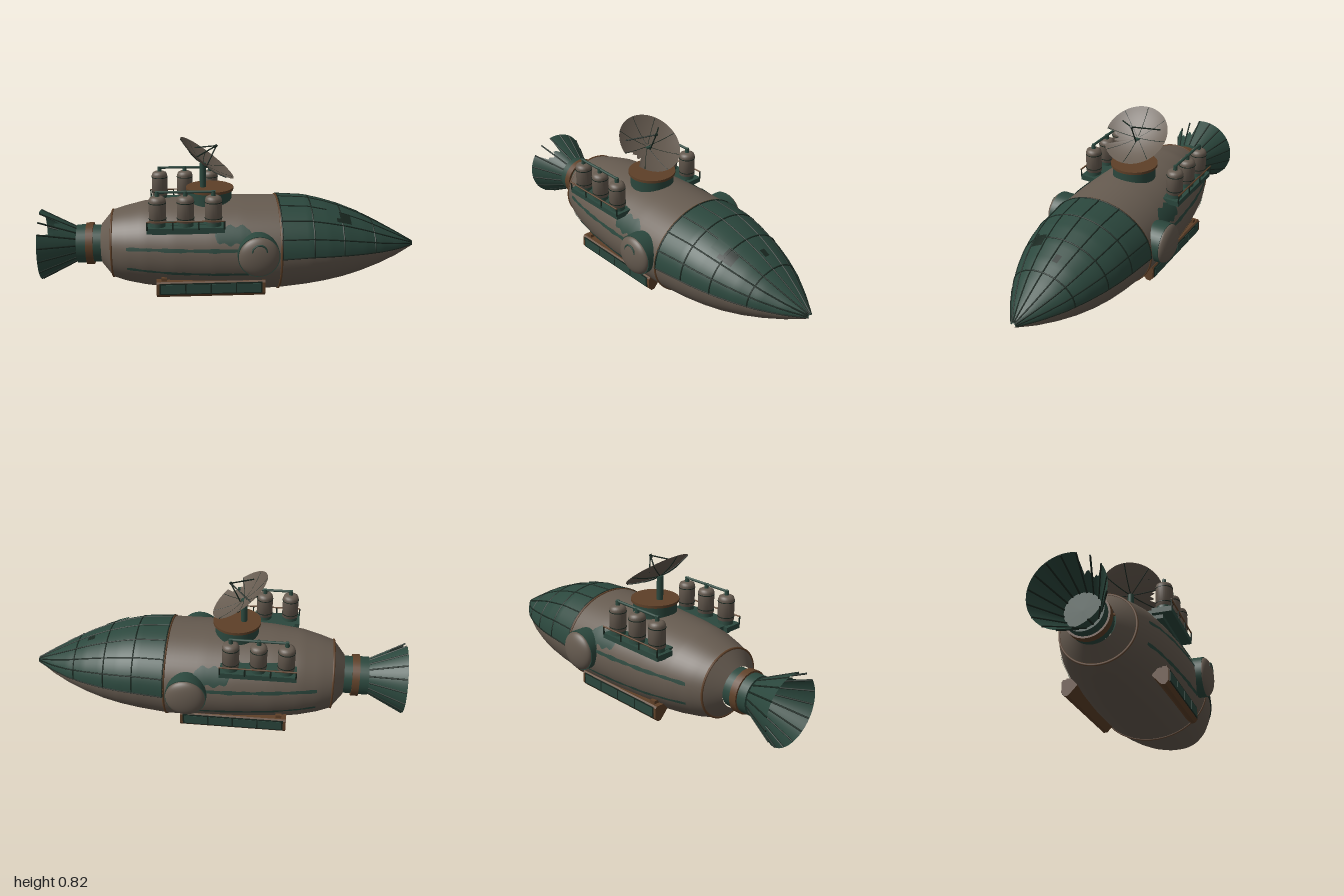
import * as THREE from 'three';
import { mergeVertices } from 'three/addons/utils/BufferGeometryUtils.js';

const mat = (name, color, side = THREE.FrontSide) => {
  const m = new THREE.MeshStandardMaterial({ color, side });
  m.name = name;
  return m;
};

// Hull stations: x, centre height, vertical radius, sideways radius
const STATIONS = [
  [-0.68, 0.255, 0.105, 0.11], [-0.62, 0.255, 0.178, 0.19], [-0.55, 0.254, 0.2, 0.22],
  [-0.45, 0.256, 0.222, 0.25], [-0.3, 0.253, 0.238, 0.277], [-0.1, 0.252, 0.246, 0.296],
  [0.05, 0.252, 0.248, 0.301], [0.25, 0.252, 0.245, 0.3], [0.4, 0.255, 0.233, 0.286],
  [0.5, 0.251, 0.214, 0.268], [0.6, 0.245, 0.188, 0.24], [0.7, 0.238, 0.153, 0.202],
  [0.8, 0.23, 0.11, 0.153], [0.9, 0.222, 0.063, 0.088], [1, 0.217, 0.01, 0.008],
];

// Point on the hull; angle runs from the top towards +z
function hullPoint(x, a, off = 0) {
  let i = 0;
  while (i < STATIONS.length - 2 && x > STATIONS[i + 1][0]) i++;
  const p = STATIONS[i], q = STATIONS[i + 1], t = (x - p[0]) / (q[0] - p[0]);
  const [cy, ry, rz] = [1, 2, 3].map((k) => p[k] + (q[k] - p[k]) * t);
  return new THREE.Vector3(x, cy + (ry + off) * Math.cos(a), (rz + off) * Math.sin(a));
}

// Smooth surface from a rule over u, v in 0..1
function surface(nu, nv, rule) {
  const pos = [], idx = [];
  for (let i = 0; i <= nu; i++) for (let j = 0; j <= nv; j++) pos.push(...rule(i / nu, j / nv).toArray());
  for (let i = 0; i < nu; i++) for (let j = 0; j < nv; j++) {
    const a = i * (nv + 1) + j, b = a + 1, c = a + nv + 1, d = c + 1;
    idx.push(a, b, c, b, d, c);
  }
  let g = new THREE.BufferGeometry();
  g.setAttribute('position', new THREE.Float32BufferAttribute(pos, 3));
  g.setIndex(idx);
  g = mergeVertices(g, 1e-5);
  g.computeVertexNormals();
  return g;
}

const lerp = THREE.MathUtils.lerp;
const shell = (x0, x1, a0, a1, off = 0, nu = 30, nv = 48) =>
  surface(nu, nv, (u, v) => hullPoint(lerp(x0, x1, u), lerp(a0, a1, v), off));

export function createModel() {
  const hull = mat('weathered hull', 0x665b50);
  const green = mat('dark green', 0x2b473d);
  const seam = mat('seam green', 0x18261f);
  const copper = mat('copper brown', 0x5e4028);
  const greenSheet = mat('dark green sheet', 0x2b473d, THREE.DoubleSide);
  const hullSheet = mat('weathered sheet', 0x665b50, THREE.DoubleSide);
  const model = new THREE.Group();
  model.name = 'spaceship';

  const add = (parent, name, geo, m, x = 0, y = 0, z = 0) => {
    const mesh = new THREE.Mesh(geo, m);
    mesh.name = name;
    mesh.position.set(x, y, z);
    parent.add(mesh);
    return mesh;
  };
  const cyl = (r0, r1, h, n = 32) => new THREE.CylinderGeometry(r0, r1, h, n);
  const box = (w, h, d) => new THREE.BoxGeometry(w, h, d);
  const tube = (parent, name, pts, r, m, closed = false) => add(parent, name,
    new THREE.TubeGeometry(new THREE.CatmullRomCurve3(pts, closed), pts.length * 2, r, 6, closed), m);
  const bar = (parent, name, p, q, r, m) => {
    const a = new THREE.Vector3(...p), b = new THREE.Vector3(...q);
    const mesh = add(parent, name, cyl(r, r, a.distanceTo(b), 8), m);
    mesh.position.copy(a).lerp(b, 0.5);
    mesh.quaternion.setFromUnitVectors(new THREE.Vector3(0, 1, 0), b.sub(a).normalize());
  };
  const range = (n, f) => Array.from({ length: n }, (_, i) => f(i));
  const ring = (x, r, m, name) => tube(model, name,
    range(40, (i) => hullPoint(x, (i / 40) * Math.PI * 2)), r, m, true);

  // Body and tail cone
  add(model, 'body', shell(-0.62, 0.25, -Math.PI, Math.PI, 0, 36, 64), hull);
  add(model, 'tailCone', shell(-0.68, -0.62, -Math.PI, Math.PI, 0, 3, 64), hull);
  ring(-0.62, 0.006, copper, 'rearHoop');
  ring(0.25, 0.006, copper, 'noseHoop');

  // Nose: green canopy above, plain chin below
  const H = Math.PI / 2;
  add(model, 'noseChin', shell(0.25, 1, H, 3 * H, 0, 45, 40), hull);
  add(model, 'noseCanopy', shell(0.25, 1, -H, H, 0.004, 45, 40), greenSheet);
  for (let i = 0; i <= 8; i++)
    tube(model, 'canopyRib', range(20, (k) => hullPoint(0.25 + k * 0.0393, -H + (i * H) / 4, 0.004)), 0.004, seam);
  for (const x of [0.255, 0.42, 0.58, 0.76])
    tube(model, 'canopyHoop', range(21, (k) => hullPoint(x, -H + (k * H) / 10, 0.004)), 0.004, seam);
  add(model, 'missingPanel', shell(0.55, 0.63, 0.42, 0.72, 0.008, 3, 4), seam);
  add(model, 'loosePanel', shell(0.5, 0.57, 0.38, 0.62, 0.012, 3, 4), greenSheet);
  add(model, 'missingPanel', shell(0.66, 0.7, -0.2, -0.06, 0.008, 2, 2), seam);

  // Engine neck
  for (const [x, w, r, m, name] of [[-0.7, 0.06, 0.1, green, 'neck'], [-0.742, 0.038, 0.112, copper, 'neckRing'],
    [-0.785, 0.05, 0.102, green, 'neckCollar']])
    add(model, name, cyl(r, r, w).rotateZ(H), m, x, 0.255, 0);

  // Flared nozzle with a torn opening near the top
  const nozzlePoint = (x, a, off = 0) => {
    const r = 0.085 + 0.1 * ((-0.8 - x) / 0.2) + off;
    return new THREE.Vector3(x, 0.255 + r * Math.cos(a), r * Math.sin(a));
  };
  add(model, 'nozzle', surface(10, 64, (u, v) => {
    const a = v * Math.PI * 2, torn = a > 0.25 && a < 0.95;
    const end = torn ? -0.91 - 0.015 * Math.sin(a * 17) : -1;
    return nozzlePoint(lerp(end, -0.8, u), a);
  }), greenSheet);
  for (let i = 0; i < 16; i++) {
    const a = (i + 0.5) * Math.PI / 8;
    bar(model, 'nozzleRib', nozzlePoint(-0.805, a).toArray(), nozzlePoint(-0.998, a).toArray(), 0.0045, seam);
  }

  // Side equipment, built at +z and mirrored
  for (const s of [1, -1]) {
    const side = new THREE.Group();
    side.name = s > 0 ? 'frontEquipment' : 'backEquipment';
    side.scale.z = s;
    model.add(side);

    // Worn painted stripes along the flank
    for (const [a, w, x1] of [[1.37, 0.05, 0.05], [1.9, 0.04, 0.1]])
      add(side, 'flankStripe', surface(40, 2, (u, v) => {
        const wear = w * (0.75 + 0.25 * Math.sin(u * 31) * Math.sin(u * 13 + 1));
        return hullPoint(lerp(-0.54, x1, u), a + (v * 2 - 1) * wear, 0.004);
      }), greenSheet);
    add(side, 'hatchPaint', surface(16, 8, (u, v) => {
      const w = 0.22 * Math.sqrt(Math.max(0, 1 - (2 * u - 1) ** 4)) * (0.85 + 0.15 * Math.sin(u * 19));
      return hullPoint(lerp(-0.09, 0.1, u), 1.06 + (v * 2 - 1) * w, 0.005);
    }), greenSheet);

    // Domed hatch
    add(side, 'hatchCollar', cyl(0.107, 0.107, 0.15, 40).rotateX(H), green, 0.13, 0.28, 0.255);
    const dome = new THREE.SphereGeometry(0.103, 40, 12, 0, Math.PI * 2, 0, H).rotateX(H).scale(1, 1, 0.4);
    add(side, 'hatchDome', dome, hull, 0.13, 0.28, 0.329);
    if (s > 0) add(side, 'hatchMark', new THREE.TorusGeometry(0.036, 0.005, 6, 24, 4.6), green, 0.13, 0.315, 0.361);

    // Tank rack with railing
    add(side, 'tankTray', box(0.39, 0.028, 0.1), green, -0.235, 0.414, 0.25);
    add(side, 'trayBracket', box(0.34, 0.05, 0.08), green, -0.235, 0.405, 0.21);
    for (const x of [-0.375, -0.235, -0.095]) {
      add(side, 'tankFoot', cyl(0.036, 0.04, 0.035), green, x, 0.443, 0.25);
      const profile = [[0, 0.45], [0.043, 0.45], [0.043, 0.56], [0.038, 0.574], [0.025, 0.581], [0, 0.583]];
      add(side, 'tank', new THREE.LatheGeometry(profile.map((p) => new THREE.Vector2(...p)), 28), hull, x, 0, 0.25);
      for (const y of [0.468, 0.55]) add(side, 'tankBand', cyl(0.0445, 0.0445, 0.004, 28), seam, x, y, 0.25);
      add(side, 'tankCap', cyl(0.01, 0.012, 0.03, 12), green, x, 0.592, 0.25);
    }
    bar(side, 'tankPipe', [-0.385, 0.602, 0.25], [-0.085, 0.602, 0.25], 0.007, green);
    bar(side, 'railing', [-0.43, 0.463, 0.3], [-0.04, 0.463, 0.3], 0.004, copper);
    for (const x of [-0.427, -0.3, -0.17, -0.043])
      bar(side, 'railPost', [x, 0.42, 0.3], [x, 0.463, 0.3], 0.004, seam);

    // Lower side pod with inset panels
    const pod = new THREE.Shape([[0.19, 0.128], [0.262, 0.128], [0.27, 0.118], [0.27, 0.062], [0.254, 0.043],
      [0.234, 0.043], [0.19, 0.09]].map(([z, y]) => new THREE.Vector2(-z, y)));
    add(side, 'sidePod', new THREE.ExtrudeGeometry(pod, { depth: 0.56, bevelEnabled: false }).rotateY(H), copper, -0.39);
    add(side, 'podFrame', box(0.53, 0.06, 0.004), seam, -0.11, 0.091, 0.27);
    for (let i = 0; i < 4; i++)
      add(side, 'podPanel', box(0.123, 0.048, 0.006), green, -0.305 + i * 0.13, 0.091, 0.271);
    for (const x of [-0.35, 0.13]) add(side, 'podStrut', box(0.03, 0.06, 0.06), copper, x, 0.115, 0.225);
  }

  // Turret base and mast
  add(model, 'turretBase', cyl(0.115, 0.115, 0.085, 40), green, -0.105, 0.503, 0);
  add(model, 'turretDeck', cyl(0.125, 0.125, 0.014, 40), copper, -0.105, 0.552, 0);
  add(model, 'mast', cyl(0.017, 0.017, 0.135, 16), green, -0.14, 0.62, 0);

  // Tilted dish with a broken bite in its rim; local y points along its axis
  const dish = new THREE.Group();
  dish.name = 'dish';
  dish.position.set(-0.117, 0.715, 0);
  dish.rotation.z = -0.652;
  model.add(dish);
  const R = 0.174, depth = 0.035;
  const dishPoint = (r, a, lift = 0) =>
    new THREE.Vector3(r * Math.cos(a), depth * ((r / R) ** 2 - 1) + lift, r * Math.sin(a));
  add(dish, 'dishBowl', surface(10, 96, (u, v) => {
    const a = v * Math.PI * 2, d = a - 1.28;
    const rim = Math.abs(d) < 0.29 ? 0.113 + 0.012 * Math.sin(a * 23) : R;
    return dishPoint(Math.max(u, 0.001) * rim, a);
  }), hullSheet);
  for (let i = 0; i < 8; i++) {
    const a = (i * Math.PI) / 4;
    tube(dish, 'dishRib', range(6, (k) => dishPoint(0.01 + k * 0.0325, a, -0.002)), 0.0028, seam);
  }
  for (const a of [0, 2.1, -2.1])
    bar(dish, 'feedStrut', dishPoint(0.12 * (a ? 1.1 : 0.2), a).toArray(), [0, 0.08, 0], 0.0035, seam);
  add(dish, 'feedHorn', cyl(0.008, 0.005, 0.02, 10), seam, 0, 0.075, 0);
  return model;
}
